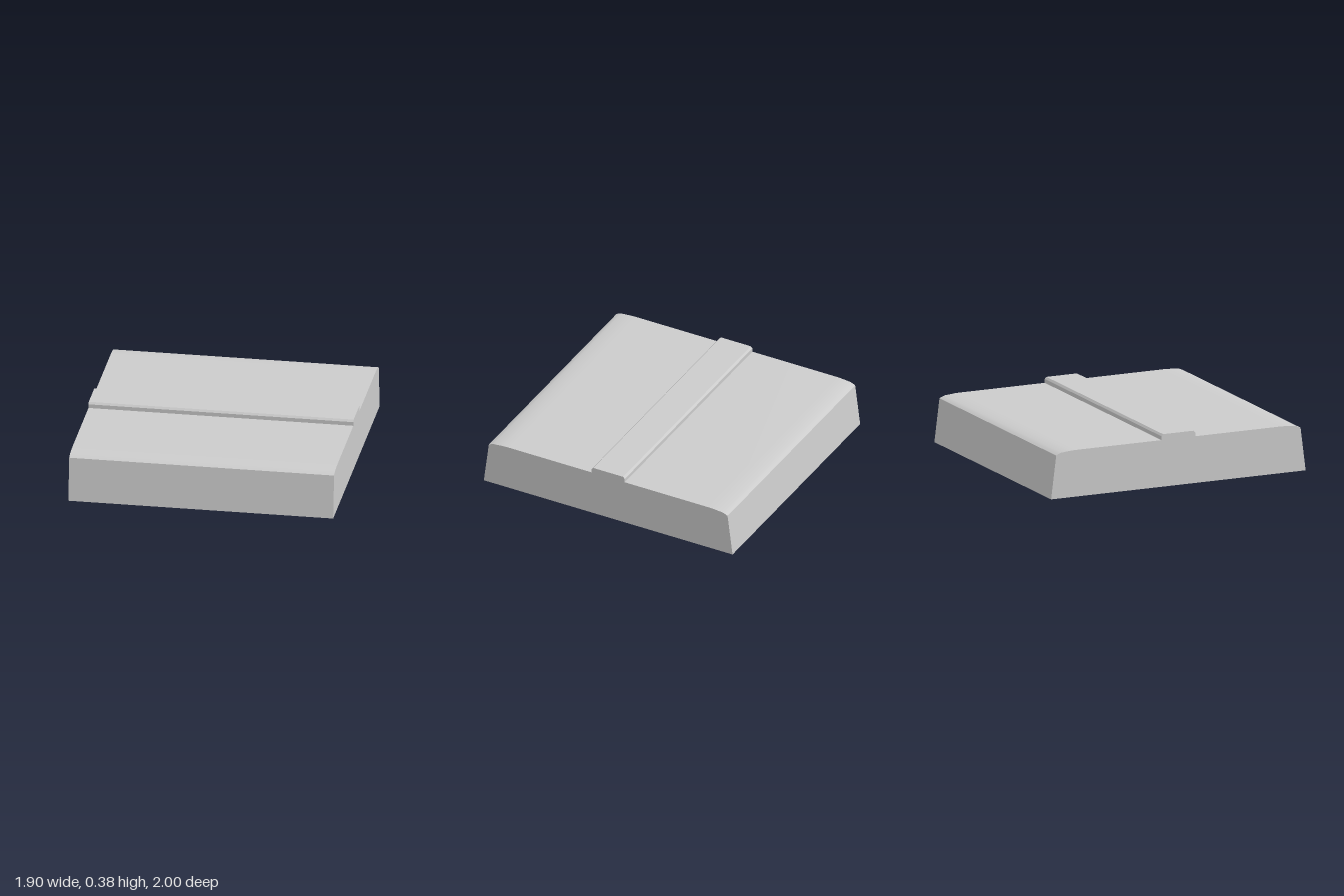
import * as THREE from 'three';
import { toCreasedNormals } from 'three/addons/utils/BufferGeometryUtils.js';

const WIDTH = 1.9;
const material = new THREE.MeshStandardMaterial({ color: 0xcccccc });

// Mirrors half of a (z, y) profile and extrudes it across the width.
function profileBar(name, half) {
  const mirrored = half.map(([z, y]) => [-z, y]).reverse();
  const shape = new THREE.Shape([...half, ...mirrored].map(([z, y]) => new THREE.Vector2(z, y)));
  const geometry = new THREE.ExtrudeGeometry(shape, { depth: WIDTH, bevelEnabled: false });
  geometry.translate(0, 0, -WIDTH / 2).rotateY(Math.PI / 2);
  const mesh = new THREE.Mesh(toCreasedNormals(geometry, 0.6), material);
  mesh.name = name;
  return mesh;
}

export function createModel() {
  const group = new THREE.Group();
  group.name = 'slabWithRidge';

  // Slab with sloping front and back walls and softened top edges
  group.add(profileBar('slab', [
    [1, 0], [0.96, 0.315], [0.945, 0.323], [0.92, 0.332], [0.84, 0.339], [0.8, 0.34],
  ]));

  // Chamfered ridge running across the middle of the top
  group.add(profileBar('ridge', [
    [0.133, 0.34], [0.133, 0.368], [0.12, 0.382],
  ]));

  return group;
}
